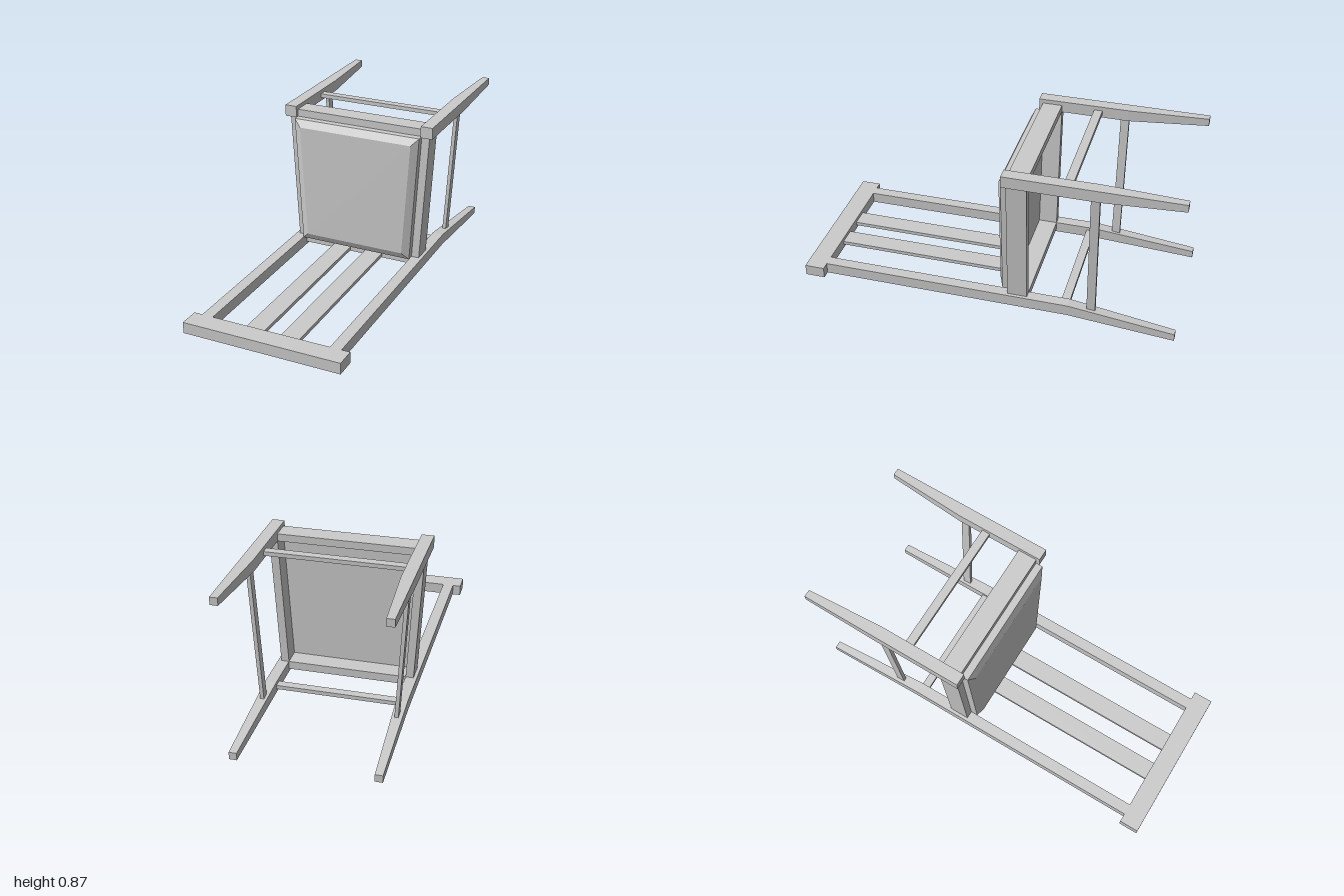
import * as THREE from 'three';

// Flat-shaded solid through a series of four-cornered rings (counter-clockwise seen from the far end)
function loft(rings) {
  const pos = [];
  const quad = (a, b, c, d) => [a, b, c, a, c, d].forEach((p) => pos.push(...p));
  for (let i = 0; i < rings.length - 1; i++) {
    for (let j = 0; j < 4; j++) {
      const k = (j + 1) % 4;
      quad(rings[i][j], rings[i][k], rings[i + 1][k], rings[i + 1][j]);
    }
  }
  const [a, b, c, d] = rings[0];
  quad(d, c, b, a);
  quad(...rings[rings.length - 1]);
  const geo = new THREE.BufferGeometry();
  geo.setAttribute('position', new THREE.Float32BufferAttribute(pos, 3));
  geo.computeVertexNormals();
  return geo;
}

// Rectangular rings across z and across y
const ringZ = (z, x0, x1, y0, y1) => [[x0, y0, z], [x1, y0, z], [x1, y1, z], [x0, y1, z]];
const ringY = (y, x0, x1, z0, z1) => [[x0, y, z0], [x0, y, z1], [x1, y, z1], [x1, y, z0]];

export function createModel() {
  const group = new THREE.Group();
  const mat = new THREE.MeshStandardMaterial({ color: 0xcccccc, flatShading: true });

  const add = (name, geo) => {
    const mesh = new THREE.Mesh(geo, mat);
    mesh.name = name;
    group.add(mesh);
  };
  const box = (name, x0, x1, y0, y1, z0, z1) =>
    add(name, loft([ringZ(z0, x0, x1, y0, y1), ringZ(z1, x0, x1, y0, y1)]));
  // Left and right copies; each section is [position, x0, x1, a0, a1]
  const pair = (name, ring, sections) => {
    add('left' + name, loft(sections.map((s) => ring(...s))));
    add('right' + name, loft(sections.map(([p, x0, x1, a, b]) => ring(p, -x1, -x0, a, b))));
  };

  // Rear legs running on into the back posts
  pair('BackPost', ringZ, [
    [-1, 0.34, 0.38, 0, 0.04],
    [-0.44, 0.32, 0.38, 0.045, 0.105],
    [0.895, 0.32, 0.38, 0.045, 0.105],
  ]);
  // Front legs, tapered on their inner sides
  pair('FrontLeg', ringZ, [
    [-1, 0.385, 0.425, 0.832, 0.872],
    [-0.58, 0.36, 0.425, 0.81, 0.872],
    [-0.095, 0.36, 0.425, 0.81, 0.872],
  ]);

  // Backrest
  box('crestRail', -0.425, 0.425, 0.045, 0.105, 0.895, 1);
  pair('BackSlat', ringZ, [
    [-0.115, 0.045, 0.145, 0.065, 0.085],
    [0.895, 0.045, 0.145, 0.065, 0.085],
  ]);

  // Seat frame
  box('frontApron', -0.36, 0.36, 0.81, 0.85, -0.22, -0.115);
  box('backApron', -0.32, 0.32, 0.06, 0.105, -0.22, -0.115);
  pair('SideApron', ringY, [
    [0.105, 0.32, 0.362, -0.22, -0.115],
    [0.81, 0.36, 0.403, -0.22, -0.115],
  ]);

  // Trapezoid seat with a bevelled rim
  const seatRing = (z, backX, frontX, y0, y1) =>
    [[-backX, y0, z], [backX, y0, z], [frontX, y1, z], [-frontX, y1, z]];
  add('seat', loft([
    seatRing(-0.12, 0.32, 0.36, 0.105, 0.81),
    seatRing(-0.077, 0.32, 0.36, 0.105, 0.81),
    seatRing(-0.057, 0.282, 0.32, 0.142, 0.77),
  ]));

  // Stretchers
  box('frontStretcher', -0.365, 0.365, 0.828, 0.85, -0.44, -0.395);
  box('backStretcher', -0.325, 0.325, 0.065, 0.087, -0.44, -0.395);
  pair('SideStretcher', ringY, [
    [0.085, 0.34, 0.36, -0.582, -0.537],
    [0.815, 0.383, 0.403, -0.582, -0.537],
  ]);

  return group;
}
